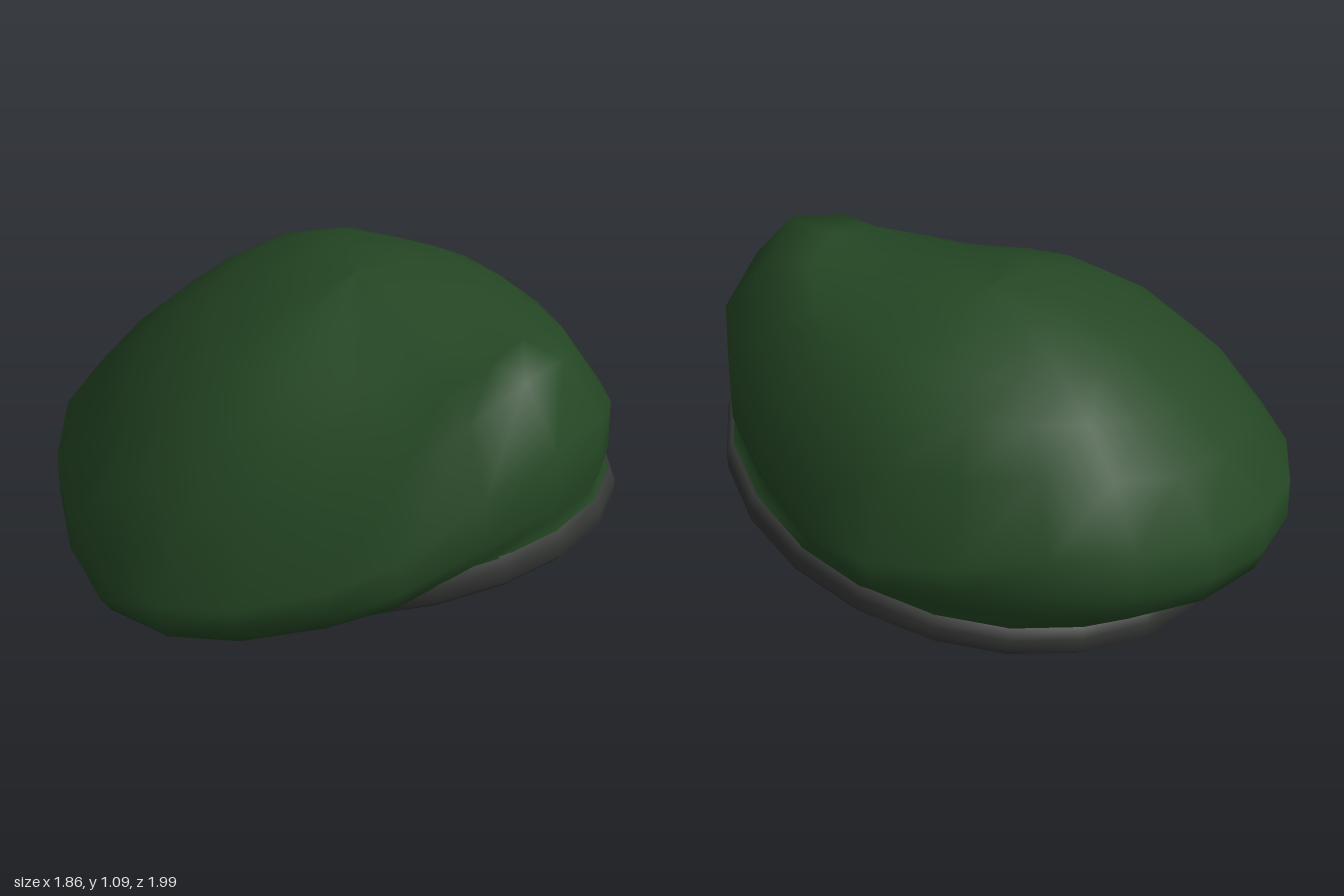
import * as THREE from 'three';

const green = new THREE.MeshStandardMaterial({ color: 0x254825, side: THREE.DoubleSide });
green.name = 'dark green felt';
const charcoal = new THREE.MeshStandardMaterial({ color: 0x363836, side: THREE.DoubleSide });
charcoal.name = 'charcoal leather';

// Joins closed rings of points, listed bottom to top, into a smooth skin
function skin(rings, closed = false) {
  const n = rings[0].length, index = [];
  const last = closed ? rings.length : rings.length - 1;
  for (let i = 0; i < last; i++) {
    const k = (i + 1) % rings.length;
    for (let j = 0; j < n; j++) {
      const m = (j + 1) % n;
      const a = i * n + j, b = i * n + m, c = k * n + m, d = k * n + j;
      index.push(a, b, c, a, c, d);
    }
  }
  const g = new THREE.BufferGeometry();
  g.setAttribute('position', new THREE.Float32BufferAttribute(rings.flat(2), 3));
  g.setIndex(index);
  g.computeVertexNormals();
  return g;
}

// Plan outline of the crown (x, z), from the front round by +x
const outline = [
  [0.01, 0.99], [0.3, 0.94], [0.52, 0.79], [0.7, 0.58], [0.86, 0.3],
  [0.93, 0], [0.85, -0.3], [0.72, -0.6], [0.52, -0.83], [0.24, -0.97],
  [-0.07, -1], [-0.32, -0.94], [-0.56, -0.78], [-0.77, -0.55], [-0.92, -0.28],
  [-0.93, 0], [-0.85, 0.28], [-0.7, 0.55], [-0.53, 0.75], [-0.26, 0.91],
];
const centreX = 0.1;

// Crown rings: outline scale, then heights at eight directions
// (front, front +x, +x, back +x, back, back -x, -x, front -x)
const crownRings = [
  [0.95, [0.5, 0.4, 0.29, 0.24, 0.16, 0.1, 0.08, 0.26]],
  [0.99, [0.58, 0.47, 0.33, 0.36, 0.25, 0.17, 0.13, 0.33]],
  [1.0, [0.82, 0.63, 0.42, 0.52, 0.4, 0.32, 0.23, 0.44]],
  [0.85, [1.03, 0.84, 0.73, 0.76, 0.61, 0.57, 0.53, 0.66]],
  [0.68, [1.03, 0.96, 0.88, 0.89, 0.79, 0.76, 0.74, 0.82]],
  [0.5, [1.03, 1.03, 0.99, 0.98, 0.94, 0.9, 0.91, 0.93]],
  [0.25, [1.08, 1.08, 1.07, 1.06, 1.05, 1.04, 1.05, 1.05]],
  [0, [1.09, 1.09, 1.09, 1.09, 1.09, 1.09, 1.09, 1.09]],
];

function crownRing([scale, heights]) {
  const curve = new THREE.CatmullRomCurve3(
    heights.map((y) => new THREE.Vector3(0, y, 0)), true, 'catmullrom', 0.5);
  return outline.map(([x, z]) => {
    const t = (Math.atan2(x, z) / (2 * Math.PI) + 1) % 1;
    return [centreX + (x - centreX) * scale, curve.getPoint(t).y, z * scale];
  });
}

// Ring of the headband: inset from its outer wall, lift above its lower edge
function bandRing(inset, lift) {
  return outline.map((_, j) => {
    const a = (j / outline.length) * 2 * Math.PI;
    const z = 0.08 + (0.88 - inset) * Math.cos(a);
    const x = 0.08 + (0.78 - inset) * Math.sin(a);
    return [x, 0.115 + 0.18 * z + 0.045 * z * z + lift, z];
  });
}

export function createModel() {
  const group = new THREE.Group();
  group.name = 'beret';

  // Soft crown, tall at the front and drooping towards -x
  const crown = new THREE.Mesh(
    skin([bandRing(0.015, 0.12), ...crownRings.map(crownRing)]), green);
  crown.name = 'crown';

  // Tilted headband with a rounded outer wall and a thin inner wall
  const band = new THREE.Mesh(skin([
    bandRing(0.035, 0), bandRing(0.005, 0.025), bandRing(0, 0.08), bandRing(0.015, 0.13),
    bandRing(0.06, 0.12), bandRing(0.06, 0.015),
  ], true), charcoal);
  band.name = 'headband';

  group.add(crown, band);
  return group;
}
